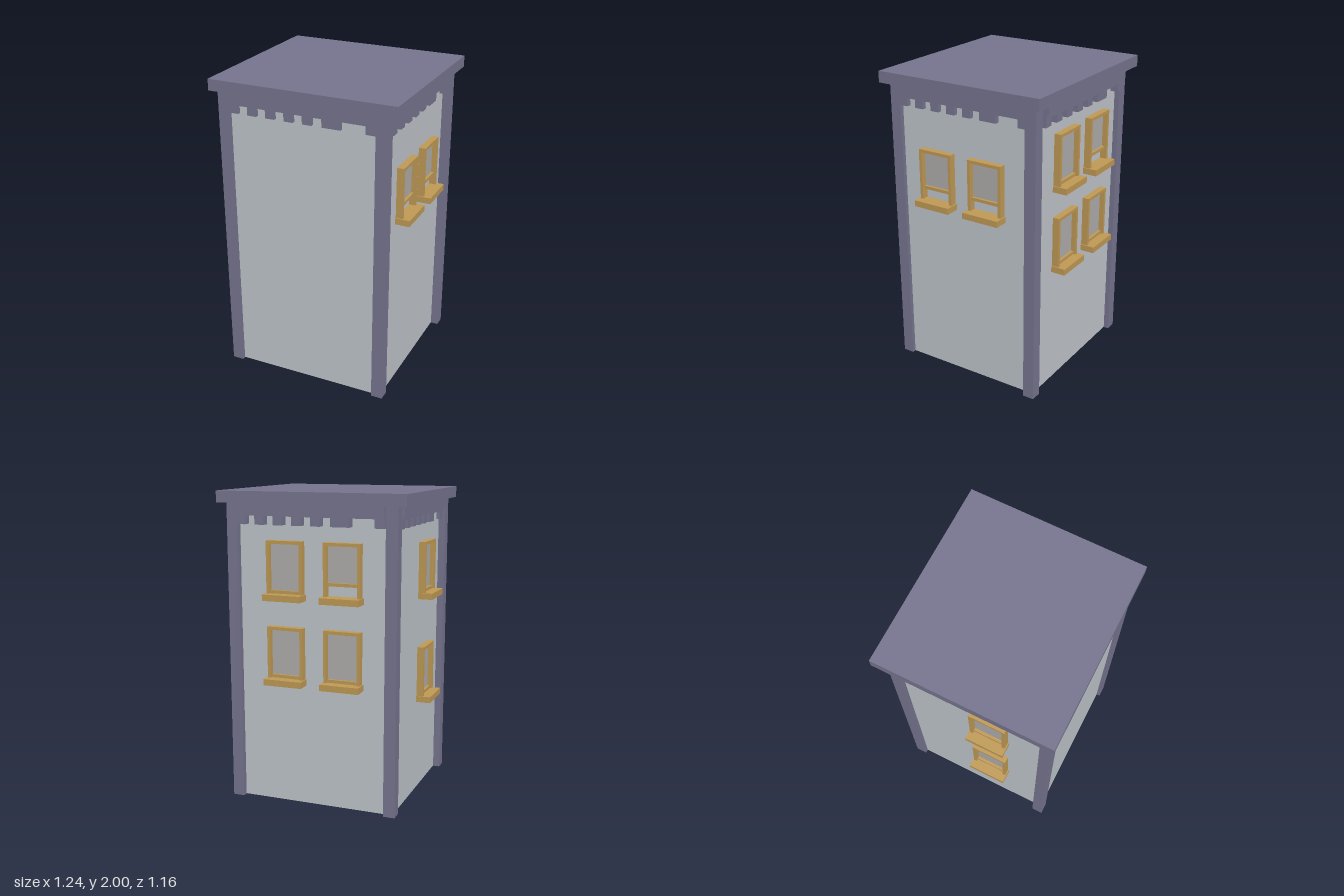
import * as THREE from 'three';

const paint = (color) => new THREE.MeshStandardMaterial({ color });
const wallMat = paint(0xc0c6cc), trimMat = paint(0x77758f), woodMat = paint(0xc09a55), glassMat = paint(0xb0aeac);

// Box given by its limits along each axis
function slab(parent, name, mat, [x0, x1], [y0, y1], [z0, z1]) {
  const mesh = new THREE.Mesh(new THREE.BoxGeometry(x1 - x0, y1 - y0, z1 - z0), mat);
  mesh.position.set((x0 + x1) / 2, (y0 + y1) / 2, (z0 + z1) / 2);
  mesh.name = name;
  parent.add(mesh);
  return mesh;
}

// Sash window on a wall plane at depth d; y is the sill's underside
function addWindow(side, u, y, d, raised) {
  const win = new THREE.Group();
  win.name = 'window';
  win.position.set(u, y, d);
  side.add(win);
  const w = 0.12, top = 0.37, sillTop = 0.04, bar = 0.02;
  const back = -0.01, face = 0.045;
  slab(win, 'sill', woodMat, [-0.128, 0.128], [0, sillTop], [back, 0.095]);
  for (const s of [-1, 1]) {
    const a = s * w, b = s * (w - bar);
    slab(win, 'jamb', woodMat, [Math.min(a, b), Math.max(a, b)], [sillTop, top], [back, face]);
  }
  slab(win, 'head', woodMat, [-w + bar, w - bar], [top - bar, top], [back, face]);
  // Sash: lifted when the window is open
  const low = raised ? 0.105 : sillTop;
  slab(win, 'sashRail', woodMat, [-w + bar, w - bar], [low, low + bar], [back, 0.03]);
  slab(win, 'glassPane', glassMat, [-w + bar, w - bar], [low + bar, top - bar], [back, 0.012]);
}

// Cornice between two posts: band, moulding and a row of dentils
function addCornice(side, [u0, u1], d, out, dy) {
  const span = u1 - u0;
  slab(side, 'corniceBand', trimMat, [u0, u1], [1.875 + dy, 1.93], [d - 0.02, out]);
  slab(side, 'corniceMoulding', trimMat, [u0, u1], [1.85 + dy, 1.875 + dy], [d - 0.02, out - 0.01]);
  const dentils = [[0, 0.063], [0.13, 0.063], [0.257, 0.063], [0.386, 0.063], [0.513, 0.063], [0.645, 0.127], [0.935, 0.065]];
  for (const [start, width] of dentils) {
    const a = u0 + start * span;
    slab(side, 'dentil', trimMat, [a, a + width * span], [1.795 + dy, 1.85 + dy], [d - 0.02, out - 0.018]);
  }
}

export function createModel() {
  const model = new THREE.Group();
  model.name = 'tower';

  slab(model, 'walls', wallMat, [-0.525, 0.52], [0.002, 1.93], [-0.485, 0.525]);
  slab(model, 'roof', trimMat, [-0.617, 0.615], [1.927, 2], [-0.57, 0.578]);

  // Corner posts: minimum x and z of each
  const p = 0.075;
  for (const [x, z] of [[-0.57, 0.475], [0.47, 0.475], [0.495, -0.52], [-0.55, -0.52]]) {
    slab(model, 'cornerPost', trimMat, [x, x + p], [0, 1.928], [z, z + p]);
  }

  // Each side is built facing +z and then turned; windows are [u, y, raised]
  const sides = [
    { name: 'frontSide', turn: 0, span: [-0.495, 0.47], d: 0.525, out: 0.566, dy: 0, windows: [] },
    { name: 'plusXSide', turn: 1, span: [-0.475, 0.445], d: 0.52, out: 0.568, dy: -0.01,
      windows: [[-0.21, 1.16, true], [0.155, 1.16, true]] },
    { name: 'backSide', turn: 2, span: [-0.495, 0.475], d: 0.485, out: 0.558, dy: 0,
      windows: [[-0.18, 1.33, false], [0.2, 1.33, true], [-0.18, 0.79, false], [0.2, 0.79, false]] },
    { name: 'minusXSide', turn: 3, span: [-0.445, 0.475], d: 0.525, out: 0.568, dy: -0.01,
      windows: [[0.13, 1.3, false], [0.13, 0.61, false]] },
  ];
  for (const s of sides) {
    const side = new THREE.Group();
    side.name = s.name;
    side.rotation.y = s.turn * Math.PI / 2;
    addCornice(side, s.span, s.d, s.out, s.dy);
    for (const [u, y, raised] of s.windows) addWindow(side, u, y, s.d, raised);
    model.add(side);
  }
  return model;
}
